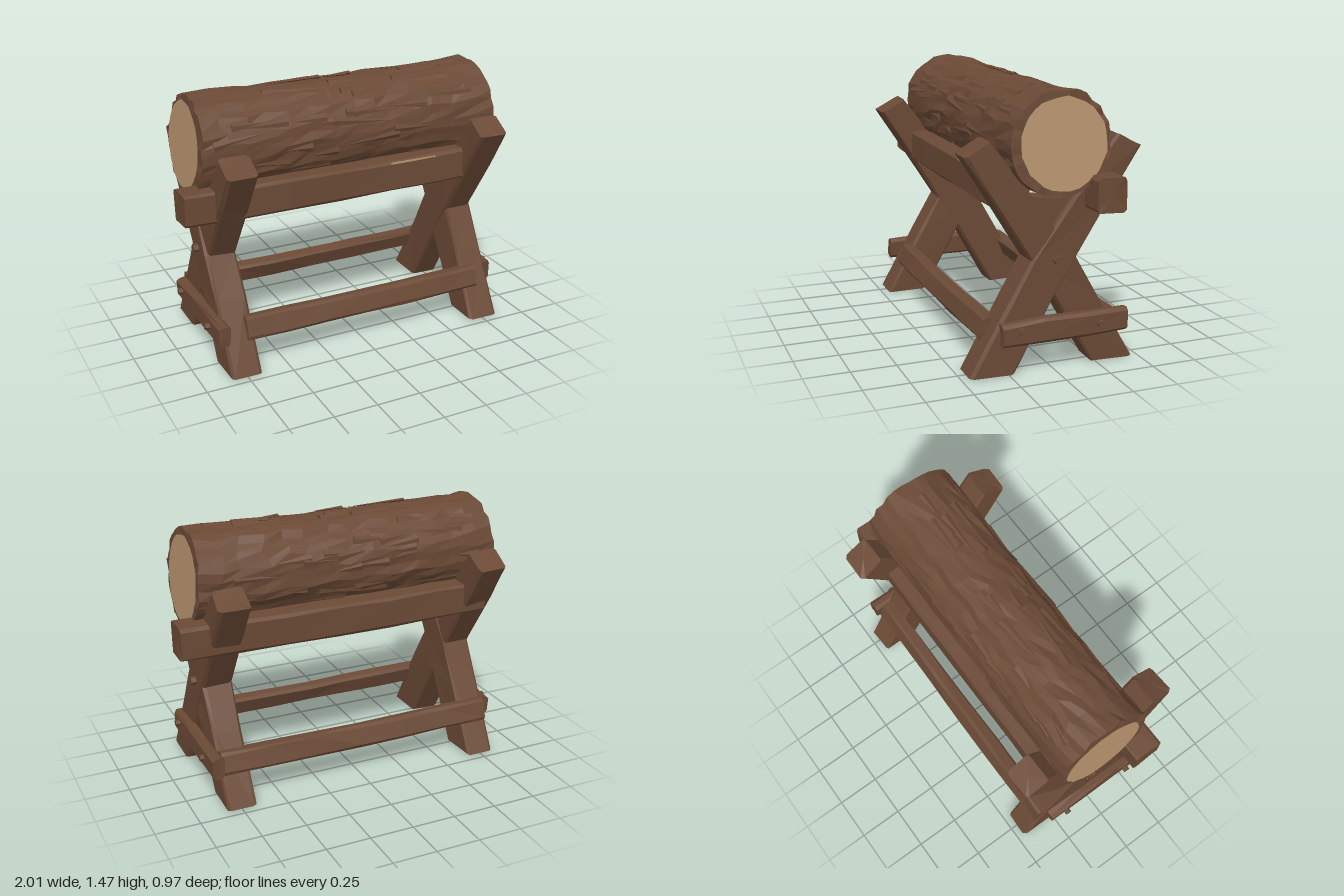
import * as THREE from 'three';
import { mergeGeometries } from 'three/addons/utils/BufferGeometryUtils.js';

const V = (x, y, z) => new THREE.Vector3(x, y, z);

export function createModel() {
  const brown = new THREE.MeshStandardMaterial({ color: 0x6b4a36, flatShading: true });
  brown.name = 'brown wood';
  const pale = new THREE.MeshStandardMaterial({ color: 0xb8946f, flatShading: true });
  pale.name = 'pale cut wood';

  let seed = 7;
  const rand = () => (seed = (seed * 16807) % 2147483647) / 2147483647;
  const jit = (a) => (rand() * 2 - 1) * a;

  const model = new THREE.Group();
  model.name = 'logOnSawhorse';
  const add = (name, geo, mat = brown) => {
    const m = new THREE.Mesh(geo, mat);
    m.name = name;
    model.add(m);
    return m;
  };

  // Closed solid through a list of equal-sized rings, wound outward
  function loft(rings) {
    const tris = [], n = rings[0].length;
    for (let i = 0; i < rings.length - 1; i++) {
      for (let j = 0; j < n; j++) {
        const k = (j + 1) % n, a = rings[i], b = rings[i + 1];
        tris.push([a[j], a[k], b[k]], [a[j], b[k], b[j]]);
      }
    }
    const cap = (ring, flip) => {
      const c = ring.reduce((s, p) => s.add(p), V(0, 0, 0)).divideScalar(n);
      for (let j = 0; j < n; j++) {
        const p = ring[j], q = ring[(j + 1) % n];
        tris.push(flip ? [c, q, p] : [c, p, q]);
      }
    };
    cap(rings[0], true);
    cap(rings[rings.length - 1], false);
    let volume = 0;
    for (const [a, b, c] of tris) volume += a.dot(b.clone().cross(c));
    if (volume < 0) tris.forEach((t) => t.reverse());
    const g = new THREE.BufferGeometry().setFromPoints(tris.flat());
    g.computeVertexNormals();
    return g;
  }

  // Hewn timber: four corners per station, chamfered and slightly uneven
  function timber(stations, rough = 0.004, chamfer = 0.016) {
    return loft(stations.map((c) => c.flatMap((p, i) => {
      const cut = (q) => {
        const r = p.clone().lerp(q, Math.min(0.4, chamfer / p.distanceTo(q)));
        return r.add(V(jit(rough), jit(rough), jit(rough)));
      };
      return [cut(c[(i + 3) % 4]), cut(c[(i + 1) % 4])];
    })));
  }

  // Timber along x with a fixed [z, y] section
  function alongX(x0, x1, section, sag = 0) {
    const st = [];
    for (let i = 0; i <= 6; i++) {
      const x = x0 + (x1 - x0) * i / 6, d = sag * Math.sin(Math.PI * i / 6);
      st.push(section.map(([z, y]) => V(x, y - d, z)));
    }
    return timber(st);
  }

  // Crossed legs: front and back edge of each station as [z, y]
  const legEdges = [
    [[0.46, 0.005], [0.22, 0.005]],
    [[0.255, 0.37], [0.0, 0.385]],
    [[0.125, 0.6], [-0.13, 0.6]],
    [[-0.11, 0.92], [-0.335, 0.925]],
    [[-0.34, 1.225], [-0.48, 1.15]],
  ];
  const leg = (x, half, mz) => timber(legEdges.map(([f, b]) => [
    V(x - half, f[1], f[0] * mz), V(x + half, f[1], f[0] * mz),
    V(x + half, b[1], b[0] * mz), V(x - half, b[1], b[0] * mz)]), 0.005);

  for (const s of [1, -1]) {
    const side = s > 0 ? 'left' : 'right';
    add(side + 'LegLeaningBack', leg(0.755 * s, 0.088, 1));
    add(side + 'LegLeaningForward', leg(0.748 * s, 0.084, -1));

    // Wedge filling the crotch of the crossed legs
    add(side + 'Wedge', loft([0.68, 0.8].map((x) => [
      V(x * s, 0.7, 0), V(x * s, 0.925, 0.13), V(x * s, 0.9, -0.04), V(x * s, 0.945, -0.15)])));

    // Low brace across the outside of the legs
    const brace = [0.3, 0.07, -0.17, -0.4].map((z, i) => {
      const lo = [0.17, 0.165, 0.165, 0.18][i], hi = [0.285, 0.3, 0.3, 0.3][i];
      return [V(0.82 * s, lo, z * s), V(0.885 * s, lo, z * s), V(0.885 * s, hi, z * s), V(0.82 * s, hi, z * s)];
    });
    add(side + 'Brace', timber(brace));

    // Wooden pegs
    for (const [x, y, z, r] of [[0.845, 0.595, -0.01, 0.024], [0.885, 0.25, 0.2 * s, 0.018], [0.885, 0.24, -0.24 * s, 0.018]]) {
      const peg = add(side + 'Peg', new THREE.CylinderGeometry(r, r, 0.05, 6));
      peg.rotation.z = Math.PI / 2;
      peg.position.set(x * s, y, z);
    }
  }

  // Upper rails carrying the log
  const railSection = (z0, z1) => [[z0, 0.85], [z1, 0.855], [z1, 1.035], [z0, 1.03]];
  add('frontRail', alongX(-1, 0.81, railSection(0.13, 0.295), 0.008));
  add('backRail', alongX(-0.81, 1, railSection(-0.32, -0.16), 0.008));
  const chip = add('railChip', new THREE.BoxGeometry(0.28, 0.008, 0.008), pale);
  chip.position.set(0.34, 1.015, 0.291);

  // Low stretchers between the leg pairs
  const low = (m) => [[0.39, 0.18], [0.35, 0.3], [0.27, 0.285], [0.32, 0.165]].map(([z, y]) => [z * m, y]);
  add('frontStretcher', alongX(-0.71, 0.745, low(1), 0.006));
  add('backStretcher', alongX(-0.82, 0.82, low(-1), 0.006));

  // Log with uneven bark and slightly sloped ends
  const CY = 1.2, CZ = -0.01, N = 36, M = 14;
  const endX = (dy) => 0.88 - dy * 0.075;
  const column = Array.from({ length: N }, () => jit(0.008));
  const rings = [];
  for (let i = 0; i <= M; i++) {
    const t = (i / M) * 2 - 1, ring = [];
    for (let j = 0; j < N; j++) {
      const a = (j + (i % 2) * 0.35) / N * Math.PI * 2;
      const r = 0.259 + 0.01 * t * t + column[j] + jit(0.007);
      const dy = r * Math.sin(a);
      const along = i > 0 && i < M ? jit(0.035) : jit(0.006);
      ring.push(V(t * endX(dy) + along, CY + dy, CZ + r * Math.cos(a)));
    }
    rings.push(ring);
  }
  add('logBark', loft(rings));

  // Long raised bark flakes
  const flakes = [];
  for (let i = 0; i < 85; i++) {
    const len = 0.14 + rand() * 0.22, a = rand() * Math.PI * 2;
    const g = new THREE.ConeGeometry(0.022, len, 4);
    g.rotateZ(rand() < 0.5 ? Math.PI / 2 : -Math.PI / 2);
    g.scale(1, 0.55, 1.2);
    g.rotateY(jit(0.12));
    g.translate(jit(0.84 - len / 2), 0.261, 0);
    g.rotateX(a);
    g.translate(0, CY, CZ);
    flakes.push(g);
  }
  add('barkFlakes', mergeGeometries(flakes));

  // Pale cut faces at both ends
  for (const s of [1, -1]) {
    const disc = new THREE.CircleGeometry(0.235, 30);
    const p = disc.attributes.position;
    const wobble = Array.from({ length: 30 }, () => 1 + jit(0.02));
    for (let i = 0; i < p.count; i++) {
      const k = i ? wobble[(i - 1) % 30] : 1;
      const dy = p.getY(i) * k;
      p.setXYZ(i, s * (endX(dy) + 0.009), CY + dy, -0.025 - s * p.getX(i) * k);
    }
    disc.computeVertexNormals();
    add(s > 0 ? 'leftCutFace' : 'rightCutFace', disc, pale);
  }

  return model;
}
